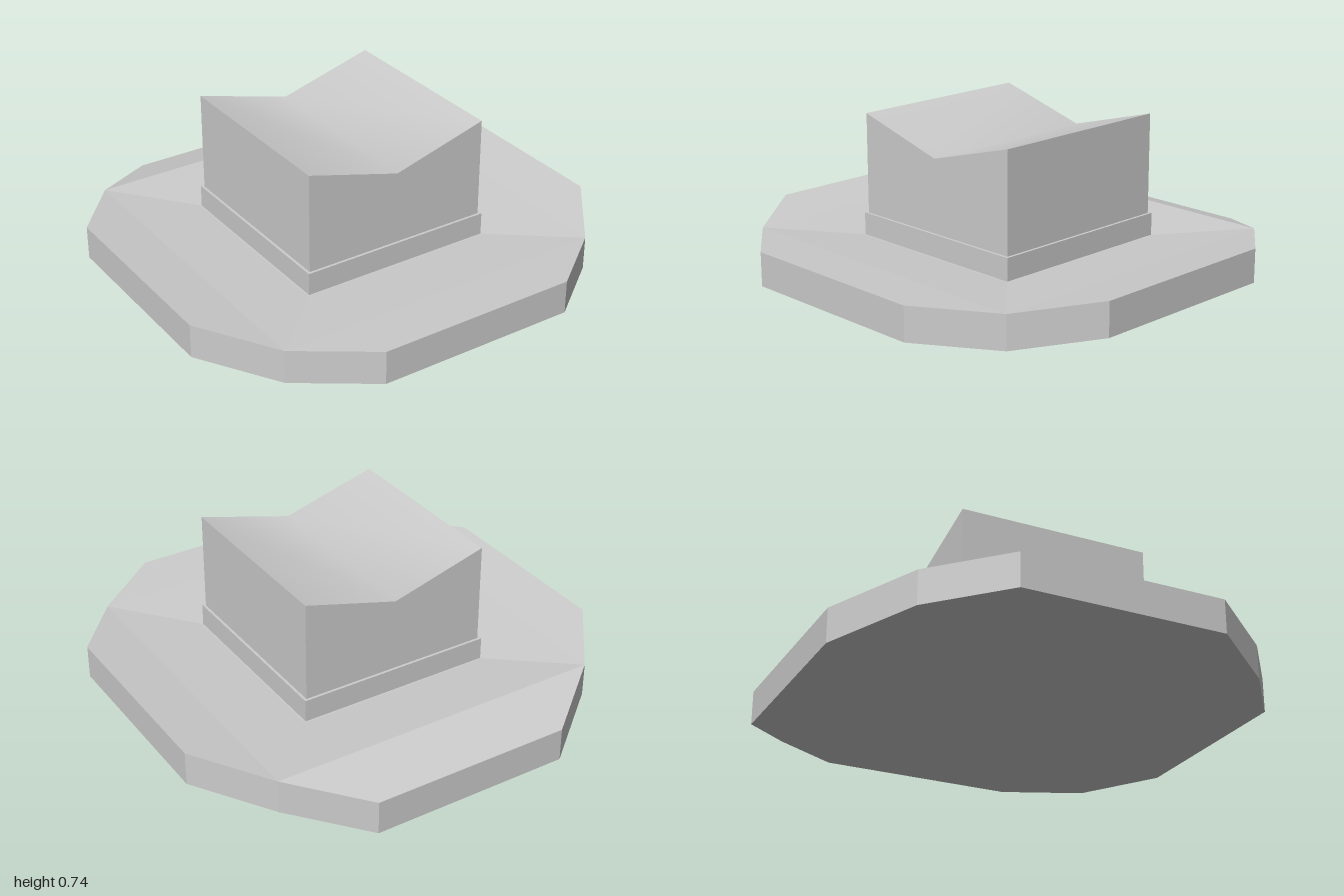
import * as THREE from 'three';
import { toCreasedNormals } from 'three/addons/utils/BufferGeometryUtils.js';

const material = () => new THREE.MeshStandardMaterial({ color: 0xcccccc });
const THICK = 0.15, INNER = 0.45, BEND = 0.76, BASE = 0.045;

// Brim: a flat centre square, four sloping panels, and a tilted flap on each side
function brimGeometry() {
  const pos = [];
  const tri = (a, b, c) => pos.push(...a, ...b, ...c);
  const quad = (a, b, c, d) => { tri(a, b, c); tri(a, c, d); };
  const up = (p) => [p[0], p[1] + THICK, p[2]];
  const slab = (a, b, c, d) => { // corners run anticlockwise seen from above
    quad(up(a), up(b), up(c), up(d));
    quad(d, c, b, a);
  };
  const edge = (a, b) => quad(a, b, up(b), up(a));

  slab([-INNER, BASE, INNER], [INNER, BASE, INNER], [INNER, BASE, -INNER], [-INNER, BASE, -INNER]);

  // Underside height of the outer edge: front, left, back, right
  [0.09, 0.11, 0, 0.11].forEach((tip, i) => {
    const c = [1, 0, -1, 0][i], s = [0, 1, 0, -1][i];
    const P = (x, y, z) => [x * c + z * s, y, z * c - x * s];
    const inL = P(-INNER, BASE, INNER), inR = P(INNER, BASE, INNER);
    const midL = P(-BEND, 0.075, BEND), midR = P(BEND, 0.075, BEND);
    const outL = P(-INNER, tip, 1), outR = P(INNER, tip, 1);
    slab(midL, midR, inR, inL);
    slab(outL, outR, midR, midL);
    edge(midL, outL);
    edge(outL, outR);
    edge(outR, midR);
  });
  const g = new THREE.BufferGeometry();
  g.setAttribute('position', new THREE.Float32BufferAttribute(pos, 3));
  g.computeVertexNormals();
  return g;
}

// Crown: square block with a V-shaped crease running front to back
function crownGeometry() {
  const w = 0.43;
  const profile = new THREE.Shape([[-w, 0.19], [w, 0.19], [w, 0.74], [0, 0.62], [-w, 0.74]]
    .map(([x, y]) => new THREE.Vector2(x, y)));
  const g = new THREE.ExtrudeGeometry(profile, { depth: 2 * w, bevelEnabled: false });
  g.translate(0, 0, -w);
  return toCreasedNormals(g, 0.7);
}

export function createModel() {
  const hat = new THREE.Group();
  hat.name = 'hat';
  const add = (name, geometry) => {
    const mesh = new THREE.Mesh(geometry, material());
    mesh.name = name;
    hat.add(mesh);
    return mesh;
  };
  add('brim', brimGeometry());
  add('crown', crownGeometry());
  // Band around the foot of the crown
  add('band', new THREE.BoxGeometry(0.884, 0.105, 0.884)).position.y = 0.2425;
  return hat;
}
